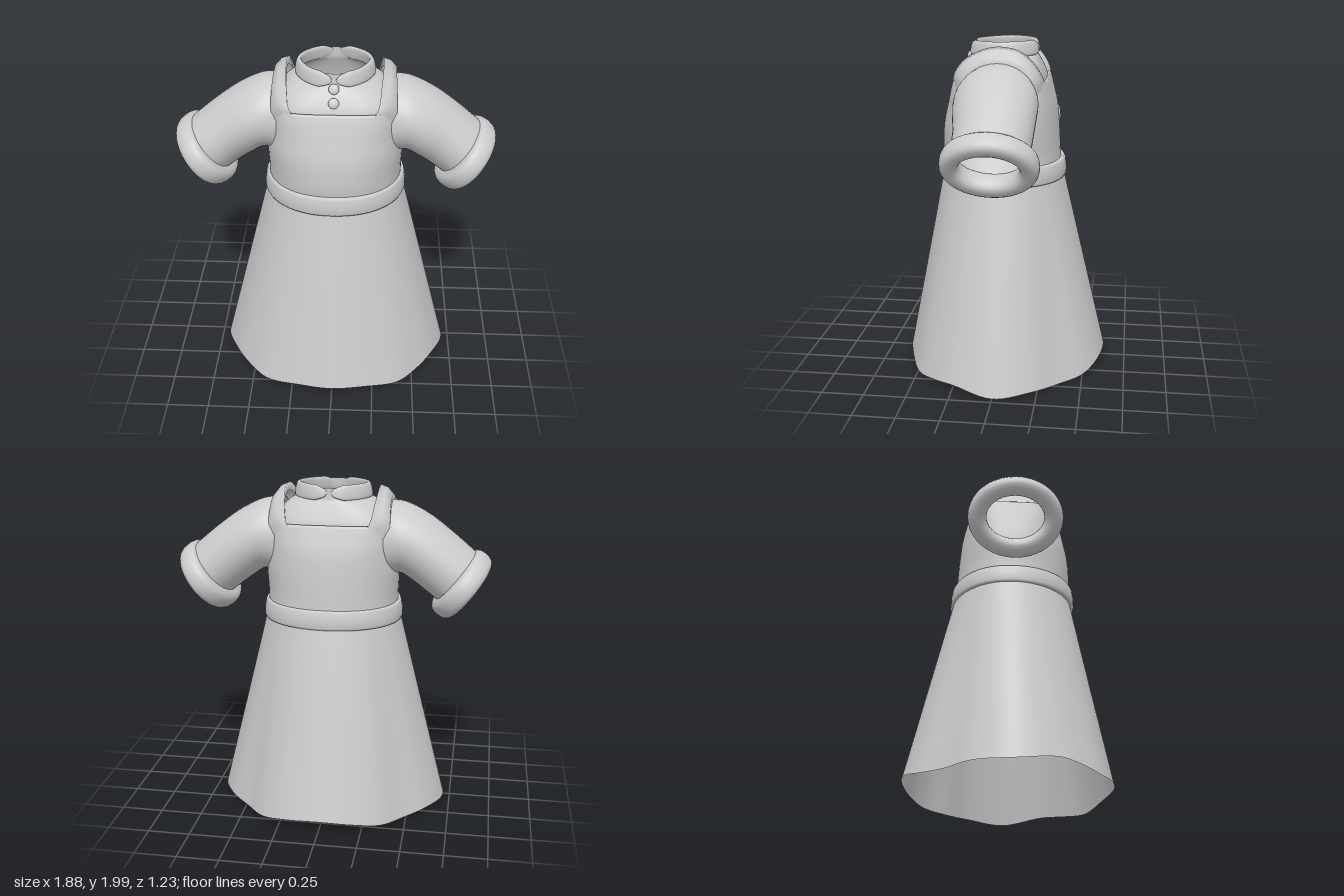
import * as THREE from 'three';

const V = (x, y, z) => new THREE.Vector3(x, y, z);
const N = 72;

// Skin rows of points; wrap joins each row into a loop, wrapRows joins the last row to the first
function loft(rows, { wrap = true, wrapRows = false, side = 1 } = {}) {
  const n = rows[0].length, m = rows.length, pos = [], idx = [];
  rows.forEach(r => r.forEach(p => pos.push(p.x * side, p.y, p.z)));
  for (let j = 0; j < (wrapRows ? m : m - 1); j++) {
    for (let i = 0; i < (wrap ? n : n - 1); i++) {
      const i2 = (i + 1) % n, j2 = (j + 1) % m;
      const a = j * n + i, b = j2 * n + i, c = j2 * n + i2, d = j * n + i2;
      if (side > 0) idx.push(a, b, d, b, c, d);
      else idx.push(a, d, b, b, d, c);
    }
  }
  const g = new THREE.BufferGeometry();
  g.setAttribute('position', new THREE.Float32BufferAttribute(pos, 3));
  g.setIndex(idx);
  g.computeVertexNormals();
  return g;
}

// Point on a horizontal superellipse with its own front and back depth
function oval(t, y, a, front, back, n) {
  const c = Math.cos(t), s = Math.sin(t);
  const pw = v => Math.sign(v) * Math.abs(v) ** (2 / n);
  return V(a * pw(c), y, (s > 0 ? front : back) * pw(s));
}
const ring = ([y, a, f, b, n]) =>
  Array.from({ length: N }, (_, i) => oval(i / N * Math.PI * 2, y, a, f, b, n));

// Smoothly resample a list of number rows
function resample(list, steps) {
  const out = [], last = list.length - 1;
  for (let k = 0; k <= steps; k++) {
    const u = k / steps * last, i = Math.min(Math.floor(u), last - 1), t = u - i;
    const at = q => list[Math.max(0, Math.min(last, q))];
    out.push(list[i].map((_, c) => {
      const [p0, p1, p2, p3] = [at(i - 1)[c], at(i)[c], at(i + 1)[c], at(i + 2)[c]];
      return p1 + 0.5 * t * (p2 - p0 + t * (2 * p0 - 5 * p1 + 4 * p2 - p3 + t * (3 * (p1 - p2) + p3 - p0)));
    }));
  }
  return out;
}

export function createModel() {
  const group = new THREE.Group();
  const cloth = new THREE.MeshStandardMaterial({ color: 0xcccccc, side: THREE.DoubleSide });
  cloth.name = 'light grey cloth';
  const add = (name, geo) => {
    const mesh = new THREE.Mesh(geo, cloth);
    mesh.name = name;
    group.add(mesh);
    return mesh;
  };

  // Skirt: oval waist blending into a wavy hem
  const half = [[0.71, 0.008, 0], [0.63, 0.04, 0.24], [0.53, 0.025, 0.38], [0.41, 0.01, 0.49],
    [0.2, 0.04, 0.575], [0, 0.052, 0.615], [-0.2, 0.04, 0.575], [-0.41, 0.01, 0.49],
    [-0.53, 0.025, 0.38], [-0.63, 0.04, 0.24], [-0.71, 0.008, 0]];
  const back = [[-0.62, 0.02, -0.22], [-0.48, 0.015, -0.37], [-0.36, 0.025, -0.5], [-0.2, 0.06, -0.585],
    [0, 0.08, -0.618], [0.2, 0.06, -0.585], [0.36, 0.025, -0.5], [0.48, 0.015, -0.37], [0.62, 0.02, -0.22]];
  const hem = new THREE.CatmullRomCurve3([...half, ...back].map(p => V(...p)), true);
  const hemRow = Array.from({ length: N * 2 }, (_, i) => hem.getPoint(i / (N * 2)));
  const waistRow = hemRow.map(p => oval(Math.atan2(p.z / 0.62, p.x / 0.71), 1.21, 0.405, 0.385, 0.345, 2));
  const skirtRows = Array.from({ length: 17 }, (_, k) =>
    hemRow.map((p, i) => p.clone().lerp(waistRow[i], k / 16)));
  add('skirt', loft(skirtRows));

  // Inner lining closing the waist
  add('waistLining', loft([[1.21, 0.4, 0.38, 0.34, 2], [1.23, 0.2, 0.19, 0.17, 2],
    [1.235, 0.001, 0.001, 0.001, 2]].map(ring)));

  // Waistband
  add('waistband', loft([[1.185, 0.395, 0.375, 0.335, 2], [1.187, 0.415, 0.4, 0.355, 2.1],
    [1.2, 0.421, 0.407, 0.362, 2.1], [1.24, 0.42, 0.408, 0.362, 2.1], [1.285, 0.412, 0.403, 0.355, 2.1],
    [1.298, 0.405, 0.396, 0.347, 2.1], [1.3, 0.385, 0.365, 0.32, 2.1]].map(ring)));

  // Pinafore bodice with a folded neckline edge
  const bodice = resample([[1.27, 0.392, 0.37, 0.33, 2.2], [1.36, 0.394, 0.382, 0.325, 2.2],
    [1.5, 0.398, 0.374, 0.315, 2.4], [1.62, 0.382, 0.345, 0.3, 2.8], [1.72, 0.366, 0.318, 0.272, 3.5],
    [1.775, 0.357, 0.3, 0.255, 4]], 20);
  bodice.push([1.782, 0.35, 0.292, 0.247, 4], [1.77, 0.338, 0.278, 0.234, 4]);
  add('bodice', loft(bodice.map(ring)));

  // Blouse yoke rising to the neck stand
  add('blouseYoke', loft(resample([[1.7, 0.34, 0.29, 0.245, 3.6], [1.78, 0.33, 0.278, 0.235, 3.5],
    [1.84, 0.31, 0.252, 0.215, 3], [1.89, 0.262, 0.222, 0.195, 2.4], [1.925, 0.212, 0.2, 0.182, 1.9],
    [1.985, 0.205, 0.195, 0.18, 1.8]], 20).map(ring)));

  // Loop of points across an arm, between a top and a bottom point
  const armRing = (tx, ty, bx, by, hz, cz) => Array.from({ length: 40 }, (_, i) => {
    const p = i / 40 * Math.PI * 2, c = Math.cos(p) / 2;
    return V((tx + bx) / 2 + (tx - bx) * c, (ty + by) / 2 + (ty - by) * c, cz - hz * Math.sin(p));
  });

  for (const side of [1, -1]) {
    const label = side > 0 ? 'left' : 'right';

    // Shoulder strap, front to back
    const inner = new THREE.CatmullRomCurve3([V(0.22, 1.755, 0.288), V(0.25, 1.82, 0.278), V(0.262, 1.9, 0.22),
      V(0.272, 1.965, 0.1), V(0.275, 1.98, 0), V(0.272, 1.955, -0.11), V(0.26, 1.885, -0.19),
      V(0.245, 1.81, -0.235), V(0.22, 1.75, -0.25)]);
    const outer = new THREE.CatmullRomCurve3([V(0.35, 1.7, 0.22), V(0.354, 1.79, 0.22), V(0.352, 1.86, 0.18),
      V(0.35, 1.91, 0.09), V(0.349, 1.92, 0), V(0.35, 1.905, -0.1), V(0.352, 1.85, -0.165),
      V(0.354, 1.78, -0.195), V(0.35, 1.7, -0.195)]);
    const strap = Array.from({ length: 33 }, (_, k) => {
      const o = outer.getPoint(k / 32), n = inner.getPoint(k / 32);
      const under = p => p.clone().lerp(V(p.x, 1.5, 0), 0.1);
      const mid = o.clone().lerp(n, 0.5).lerp(V(0.2, 1.5, 0), -0.03);
      return [under(o), o, mid, n, under(n)];
    });
    add(label + 'Strap', loft(strap, { wrap: false, side }));

    // Sleeve
    const sleeve = resample([[0.3, 1.895, 0.33, 1.44, 0.225, 0.012], [0.42, 1.885, 0.405, 1.465, 0.24, 0.012],
      [0.56, 1.82, 0.47, 1.43, 0.235, 0.008], [0.7, 1.72, 0.55, 1.372, 0.222, 0],
      [0.85, 1.595, 0.635, 1.305, 0.215, 0]], 20);
    add(label + 'Sleeve', loft(sleeve.map(r => armRing(...r)), { side }));

    // Thick rolled cuff
    const cuff = Array.from({ length: 20 }, (_, j) => {
      const q = j / 20 * Math.PI * 2, pw = v => Math.sign(v) * Math.abs(v) ** 0.8;
      const s = -0.066 * pw(Math.cos(q)), r = 0.054 * pw(Math.sin(q));
      const cx = 0.767 + 0.789 * s, cy = 1.405 - 0.614 * s, h = 0.175 + r;
      return armRing(cx + 0.614 * h, cy + 0.789 * h, cx - 0.614 * h, cy - 0.789 * h, 0.218 + r, 0);
    });
    add(label + 'Cuff', loft(cuff, { wrapRows: true, side }));

    // Half of the collar, rounded off at the front and back openings
    const collar = Array.from({ length: 41 }, (_, k) => {
      const t = (k / 20 - 1) * 1.51;
      const end = Math.sqrt(Math.min(1, Math.min(k, 40 - k) / 5));
      return Array.from({ length: 16 }, (_, i) => {
        const q = i / 16 * Math.PI * 2, pw = v => Math.sign(v) * Math.abs(v) ** 0.7;
        const dy = -0.043 * end * pw(Math.sin(q));
        const dr = 0.015 * end * pw(Math.cos(q)) - dy * 0.2;
        const drop = 0.006 * Math.max(0, Math.sin(t));
        return oval(t, 1.957 + dy - drop, 0.212 + dr, 0.208 + dr, 0.186 + dr, 1.8);
      });
    });
    add(label + 'Collar', loft(collar, { side }));
  }

  // Buttons on the placket
  [[1.905, 0.222], [1.835, 0.257]].forEach(([y, z], i) => {
    const b = add('button' + (i + 1), new THREE.SphereGeometry(0.03, 20, 14));
    b.scale.z = 0.5;
    b.rotation.x = -0.45;
    b.position.set(0, y, z);
  });

  return group;
}
